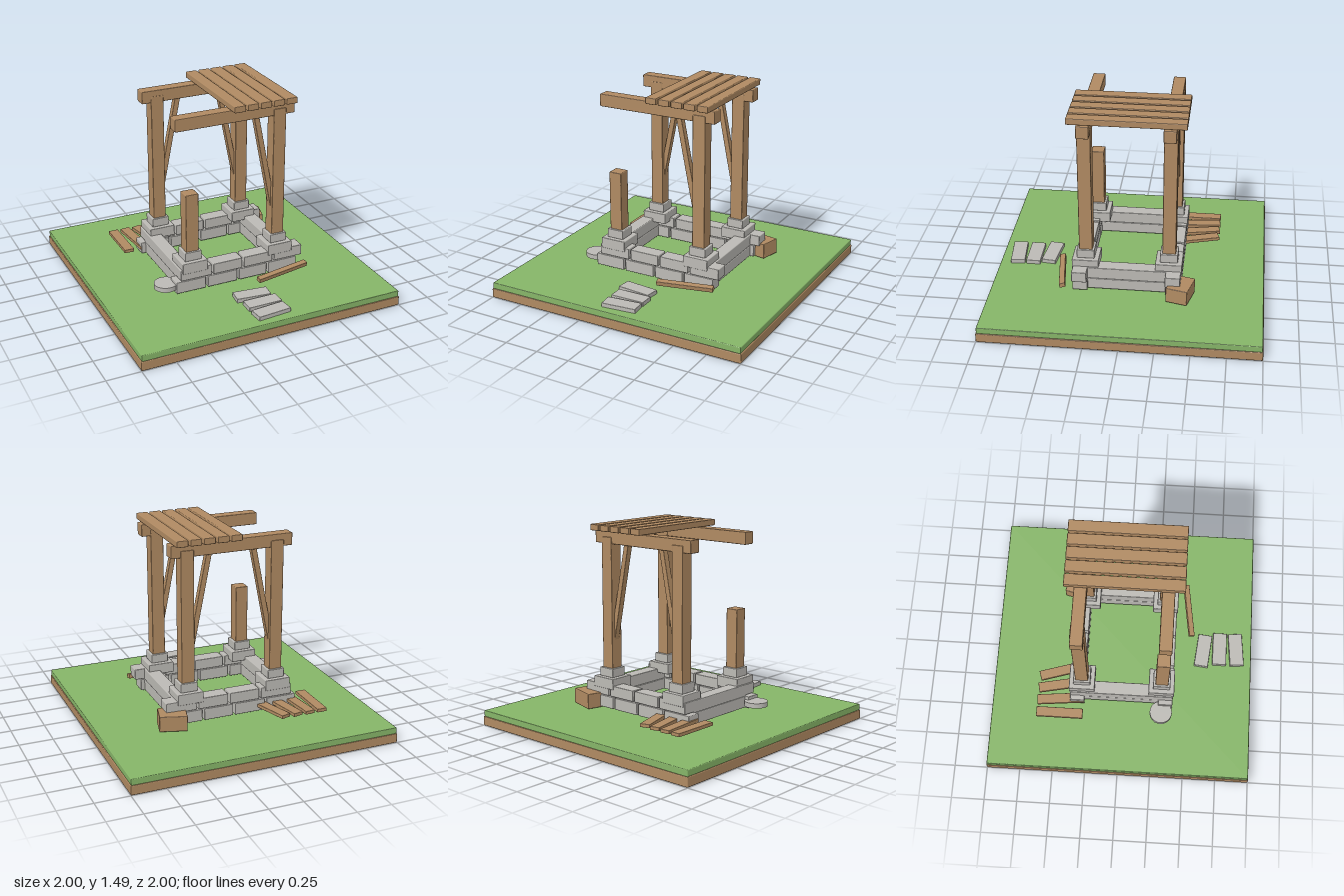
import * as THREE from 'three';
import { RoundedBoxGeometry } from 'three/addons/geometries/RoundedBoxGeometry.js';

const flat = (name, color) => {
  const m = new THREE.MeshStandardMaterial({ color });
  m.name = name;
  return m;
};

export function createModel() {
  const wood = flat('wood', 0xb08a62);
  const grass = flat('grass green', 0x86b568);
  const stone = flat('stone grey', 0xbcbab5);
  const model = new THREE.Group();
  model.name = 'ruinedWell';

  // Softly bevelled block: size, centre and optional rotation
  const block = (name, mat, [w, h, d], [x, y, z], [rx, ry, rz] = [0, 0, 0], bevel = 0.006) => {
    const mesh = new THREE.Mesh(new RoundedBoxGeometry(w, h, d, 1, bevel), mat);
    mesh.name = name;
    mesh.position.set(x, y, z);
    mesh.rotation.set(rx, ry, rz, 'YXZ');
    model.add(mesh);
    return mesh;
  };

  // Ground slab
  block('soil', wood, [2, 0.07, 2], [0, 0.035, 0]);
  block('turf', grass, [1.99, 0.048, 1.99], [0, 0.092, 0]);

  // Front and back walls: two staggered courses of [left, right] spans
  const courses = [
    { y: 0.18, h: 0.09, spans: [[-0.485, -0.255], [-0.24, -0.005], [0.01, 0.235], [0.25, 0.48]] },
    { y: 0.27, h: 0.082, spans: [[-0.45, -0.21], [-0.195, 0.035], [0.05, 0.28], [0.295, 0.525]] },
  ];
  for (const s of [1, -1]) {
    for (const { y, h, spans } of courses) {
      for (const [a, b] of spans) {
        block('wallStone', stone, [b - a, h, 0.11], [(a + b) / 2, y, s * 0.338]);
      }
    }
  }

  // Side walls: two long stones each
  for (const s of [1, -1]) {
    block('sideWallStone', stone, [0.1, 0.085, 0.6], [s * 0.4, 0.178, 0]);
    block('sideWallStone', stone, [0.1, 0.09, 0.6], [s * 0.4, 0.266, 0]);
  }

  // Corner footings, posts and slanted braces; one front post is broken off
  for (const sx of [1, -1]) {
    for (const sz of [1, -1]) {
      const x = sx * 0.34, z = sz * 0.302;
      const broken = sx < 0 && sz > 0;
      block('lowerFooting', stone, [0.195, 0.082, 0.195], [x, 0.323, z]);
      block('upperFooting', stone, [0.13, 0.068, 0.13], [x, 0.396, z]);
      const top = broken ? 0.87 : 1.4;
      block('post', wood, [0.098, top - 0.38, 0.098], [x, (top + 0.38) / 2, z]);
      if (broken) continue;
      const a = new THREE.Vector2(sx * 0.163, 1.385);
      const b = new THREE.Vector2(sx * 0.315, 0.625);
      block('brace', wood, [0.04, a.distanceTo(b), 0.045],
        [(a.x + b.x) / 2, (a.y + b.y) / 2, z],
        [0, 0, Math.atan2(b.x - a.x, a.y - b.y)], 0.003);
    }
  }

  // Roof beams and slats
  for (const s of [1, -1]) block('roofBeam', wood, [0.915, 0.092, 0.09], [0, 1.397, s * 0.3]);
  for (let i = 0; i < 5; i++) {
    block('roofSlat', wood, [0.085, 0.046, 0.83], [i * 0.1 - 0.002, 1.469, 0]);
  }

  // Fallen slats fanned out at the back
  for (let i = 0; i < 4; i++) {
    block('fallenSlat', wood, [0.075, 0.026, 0.355], [-0.58 + i * 0.112, 0.177, -0.467], [0, i * 0.1, 0], 0.003);
  }

  // Stray timber
  block('fallenPlank', wood, [0.425, 0.034, 0.042], [0.312, 0.184, 0.49], [0.2, 0.15, 0.04], 0.003);
  block('woodChunk', wood, [0.2, 0.115, 0.16], [0.482, 0.187, -0.394], [0, -0.245, 0.03]);

  // Stepping stones and a round stone
  const steps = [[0, 0.617, -0.11], [0.02, 0.745, 0], [0.022, 0.873, 0.09]];
  for (const [x, z, turn] of steps) {
    block('steppingStone', stone, [0.258, 0.034, 0.108], [x, 0.129, z], [0, turn, 0], 0.004);
  }
  const round = new THREE.Mesh(new THREE.CylinderGeometry(0.085, 0.085, 0.036, 24), stone);
  round.name = 'roundStone';
  round.position.set(-0.535, 0.182, 0.308);
  model.add(round);

  return model;
}
